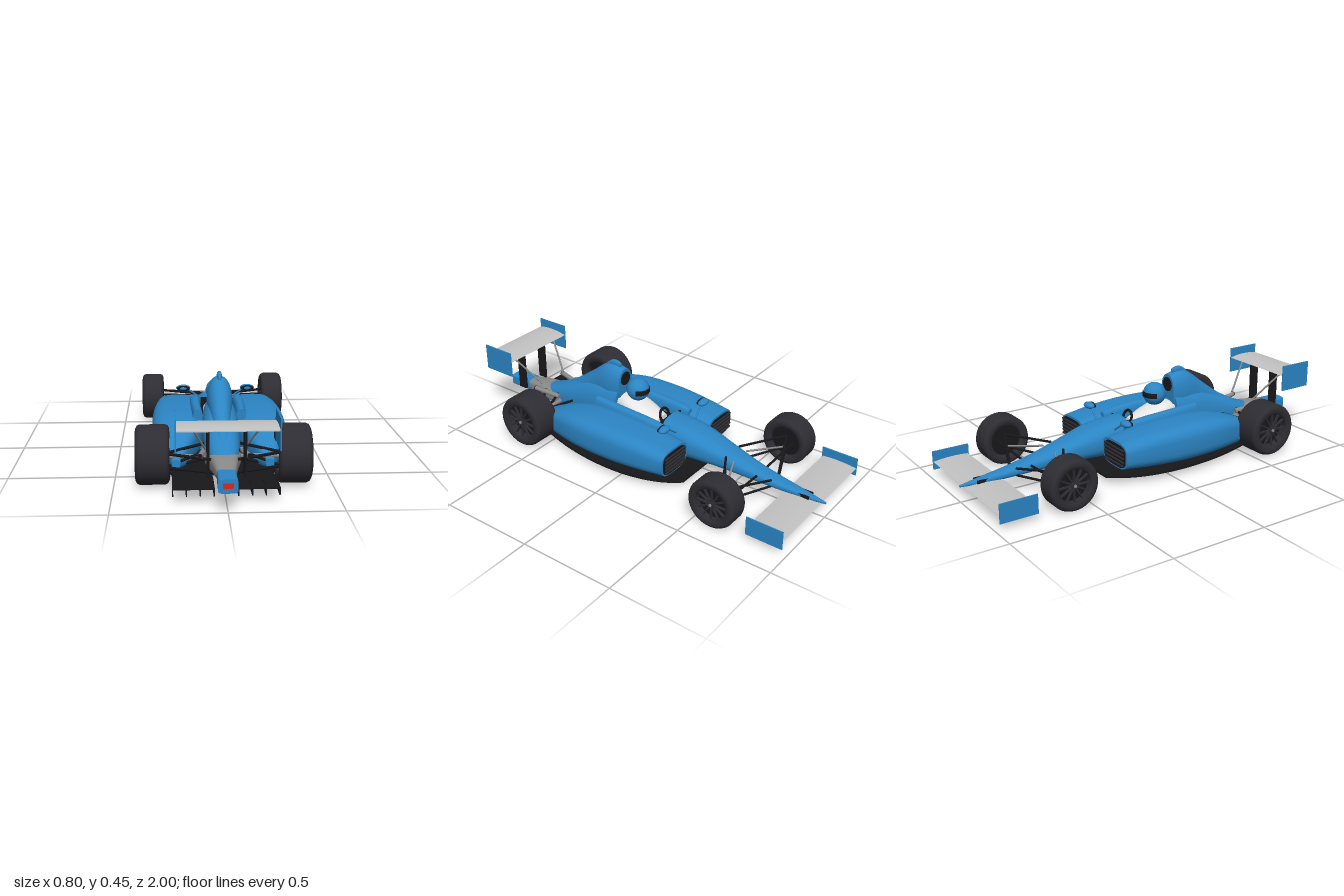
import * as THREE from 'three';

const mat = (name, color, side = THREE.FrontSide) => {
  const m = new THREE.MeshStandardMaterial({ color, side });
  m.name = name;
  return m;
};

export function createModel() {
  const car = new THREE.Group();
  car.name = 'racingCar';
  const blue = mat('bodyBlue', 0x2b85c4), silver = mat('wingSilver', 0xc2c2c2), grey = mat('gearboxGrey', 0x8a8a8a);
  const rubber = mat('tyreCharcoal', 0x2d2d33), black = mat('carbonBlack', 0x18181b);
  const red = mat('lightRed', 0xd22b20), white = mat('overallsWhite', 0xe6e6e6);
  const V = (x, y, z) => new THREE.Vector3(x, y, z);

  const add = (name, geo, m, x = 0, y = 0, z = 0, parent = car) => {
    const mesh = new THREE.Mesh(geo, m);
    mesh.name = name;
    mesh.position.set(x, y, z);
    parent.add(mesh);
    return mesh;
  };
  const box = (name, m, w, h, d, x, y, z, parent) => add(name, new THREE.BoxGeometry(w, h, d), m, x, y, z, parent);
  const rod = (name, a, b, r, m) => {
    const mesh = add(name, new THREE.CylinderGeometry(r, r, a.distanceTo(b), 8), m);
    mesh.position.copy(a).add(b).multiplyScalar(0.5);
    mesh.quaternion.setFromUnitVectors(V(0, 1, 0), b.clone().sub(a).normalize());
    return mesh;
  };

  // Smooth skin through superellipse stations [z, centreX, halfWidth, bottom, top], capped at both ends
  const loft = (name, m, stations, power = 2.6, side = 1) => {
    const N = 36, SUB = 5, pos = [], idx = [];
    const curve = new THREE.CubicInterpolant(stations.map(s => s[0]), stations.flatMap(s => s.slice(1)), 4);
    const zs = [];
    stations.forEach((s, k) => {
      if (!k) return zs.push(s[0]);
      const p = stations[k - 1][0];
      for (let i = 1; i <= SUB; i++) zs.push(p + (s[0] - p) * i / SUB);
    });
    const se = v => Math.sign(v) * Math.pow(Math.abs(v), 2 / power);
    const ring = z => {
      const [cx, hw, y0, y1] = curve.evaluate(z);
      const c = [cx * side, (y0 + y1) / 2, z];
      for (let i = 0; i < N; i++) {
        const t = i / N * Math.PI * 2;
        pos.push(c[0] + hw * se(Math.cos(t)), c[1] + (y1 - y0) / 2 * se(Math.sin(t)), z);
      }
      return c;
    };
    zs.forEach(ring);
    for (let j = 0; j < zs.length - 1; j++) for (let i = 0; i < N; i++) {
      const a = j * N + i, b = j * N + (i + 1) % N;
      idx.push(a, b, a + N, b, b + N, a + N);
    }
    [zs[0], zs[zs.length - 1]].forEach((z, end) => {
      const base = pos.length / 3;
      pos.push(...ring(z));
      for (let i = 0; i < N; i++) {
        const a = base + i, b = base + (i + 1) % N;
        idx.push(base + N, ...(end ? [a, b] : [b, a]));
      }
    });
    const g = new THREE.BufferGeometry();
    g.setAttribute('position', new THREE.Float32BufferAttribute(pos, 3));
    g.setIndex(idx);
    g.computeVertexNormals();
    return add(name, g, m);
  };

  // Nose and scuttle, cockpit tub, engine cover and air box
  loft('nose', blue, [[-1, 0, .004, .08, .09], [-.9, 0, .022, .075, .103], [-.72, 0, .043, .075, .127],
    [-.6, 0, .056, .078, .15], [-.45, 0, .075, .082, .19], [-.26, 0, .1, .075, .24], [-.1, 0, .1, .06, .255]]);
  loft('cockpitTub', blue, [[-.12, 0, .11, .055, .19], [.25, 0, .11, .05, .19]], 5);
  box('cockpitFloor', black, .18, .008, .31, 0, .192, .055);
  box('cockpitCowl', black, .16, .05, .008, 0, .215, -.098);
  loft('engineCover', blue, [[.21, 0, .08, .05, .33], [.35, 0, .088, .05, .325], [.5, 0, .085, .06, .265],
    [.65, 0, .07, .07, .2], [.73, 0, .055, .08, .17]], 2.4);
  loft('airBox', blue, [[.2, 0, .054, .23, .42], [.27, 0, .062, .2, .432], [.32, 0, .06, .2, .42],
    [.4, 0, .052, .18, .36], [.53, 0, .038, .16, .265], [.65, 0, .025, .15, .2]], 2.2);
  const intake = add('airIntake', new THREE.CylinderGeometry(.037, .037, .004, 28), black, 0, .365, .199);
  intake.rotation.x = Math.PI / 2;
  loft('cameraPod', blue, [[.225, 0, .007, .425, .445], [.25, 0, .012, .41, .454], [.28, 0, .012, .41, .452], [.315, 0, .005, .4, .43]], 2.5);

  // Driver and steering wheel
  loft('driverTorso', white, [[-.04, 0, .045, .18, .22], [.06, 0, .07, .18, .26], [.15, 0, .075, .18, .285], [.21, 0, .06, .18, .28]], 2.3);
  add('helmet', new THREE.SphereGeometry(.06, 32, 24), blue, 0, .33, .115);
  add('visor', new THREE.SphereGeometry(.0625, 32, 8, Math.PI * 1.5 - 1.15 + Math.PI * 2 - Math.PI * 2 - Math.PI, 0.001, 1.3, .45), black, 0, .33, .115).visible = true;
  const visor = car.children[car.children.length - 1];
  visor.geometry = new THREE.SphereGeometry(.0625, 32, 8, Math.PI * 1.5 - 1.15, 2.3, 1.3, .45); // faces the nose
  const wheelRim = add('steeringWheel', new THREE.TorusGeometry(.035, .007, 10, 28), black, 0, .235, -.055);
  wheelRim.rotation.x = .3;

  // Gearbox, crash box and rain light
  loft('gearbox', grey, [[.6, 0, .085, .075, .165], [.73, 0, .062, .08, .172], [.87, 0, .042, .098, .152]], 3.2);
  loft('crashBox', blue, [[.87, 0, .042, .09, .152], [1, 0, .043, .088, .15]], 6);
  box('rainLight', red, .045, .024, .004, 0, .122, 1);

  for (const s of [1, -1]) {
    // Side pods with slatted radiator mouths
    loft('sidePod', blue, [[-.265, .2, .107, .08, .217], [-.1, .203, .12, .062, .237], [.1, .205, .127, .05, .246],
      [.3, .203, .12, .05, .238], [.45, .207, .083, .055, .205], [.56, .212, .045, .065, .155], [.62, .215, .018, .08, .12]], 3.2, s);
    loft('radiatorMouth', black, [[-.27, .205, .09, .09, .205], [-.26, .205, .09, .09, .205]], 4, s);
    for (let i = 0; i < 5; i++) box('radiatorSlat', rubber, .165, .007, .012, s * .205, .108 + i * .02, -.272);

    // Cockpit side rail
    loft('cockpitRail', blue, [[-.14, .11, .018, .18, .246], [-.09, .112, .026, .15, .257], [.1, .112, .028, .12, .268], [.3, .105, .026, .12, .274]], 3, s);

    // Mirrors
    const mirror = add('mirror', new THREE.SphereGeometry(1, 24, 16), blue, s * .171, .274, -.18);
    mirror.scale.set(.038, .017, .024);
    const glass = add('mirrorGlass', new THREE.CylinderGeometry(1, 1, 1, 28), black, s * .171, .274, -.163);
    glass.rotation.x = Math.PI / 2;
    glass.scale.set(.034, .008, .014);
    const gem = add('mirrorReflection', new THREE.CircleGeometry(1, 4), blue, s * .171, .274, -.1585);
    gem.scale.set(.018, .007, 1);
    rod('mirrorStalk', V(s * .15, .27, -.18), V(s * .085, .22, -.19), .005, blue);

    // Front suspension
    const fu = V(s * .3, .165, -.61), fl = V(s * .3, .1, -.61);
    [[fu, V(s * .035, .12, -.72)], [fu, V(s * .06, .17, -.475)], [fl, V(s * .035, .085, -.72)], [fl, V(s * .06, .09, -.475)],
      [V(s * .3, .13, -.645), V(s * .04, .12, -.645)]].forEach(([a, b]) => rod('frontWishbone', a, b, .006, black));
    rod('frontPushrod', fl, V(s * .06, .16, -.52), .005, grey);

    // Rear suspension
    const ru = V(s * .27, .145, .6), rl = V(s * .27, .078, .6);
    [[ru, V(s * .06, .15, .72)], [ru, V(s * .07, .165, .5)], [rl, V(s * .05, .09, .72)], [rl, V(s * .07, .09, .5)],
      [rl, V(s * .07, .165, .62)]].forEach(([a, b]) => rod('rearWishbone', a, b, .007, black));
    rod('driveShaft', V(s * .27, .13, .6), V(s * .05, .13, .6), .011, grey);

    // Exhaust pipes
    rod('exhaust', V(s * .085, .16, .6), V(s * .11, .175, .75), .013, grey);
    rod('exhaustTip', V(s * .11, .175, .748), V(s * .111, .1755, .754), .012, black);

    // Rear wing mounts and endplates
    box('rearWingPost', black, .012, .225, .05, s * .08, .24, .875);
    rod('rearWingStrut', V(s * .16, .352, .86), V(s * .085, .2, .72), .005, grey);
    box('rearEndplate', blue, .006, .14, .185, s * .218, .34, .907);

    // Front endplates and nose pylons
    box('frontEndplate', blue, .006, .097, .193, s * .367, .083, -.882);
    box('frontWingPylon', black, .007, .024, .1, s * .0215, .088, -.87);

    // Diffuser ramp and strakes
    const ramp = box('diffuserRamp', black, .185, .006, .33, s * .1425, .054, .715);
    ramp.rotation.x = -.08;
    for (const x of [.053, .113, .173, .232]) box('diffuserStrake', black, .005, .034, .14, s * x, .052, .81);
  }

  // Wings: thin cambered sections extruded across the car
  const wing = (name, span, chord, y, z, camber) => {
    const h = chord / 2, sh = new THREE.Shape();
    sh.moveTo(-h, 0);
    sh.quadraticCurveTo(0, .006 + camber * 2, h, .004);
    sh.lineTo(h, 0);
    sh.quadraticCurveTo(0, -.008 + camber, -h, 0);
    const g = new THREE.ExtrudeGeometry(sh, { depth: span, bevelEnabled: false, curveSegments: 12 });
    g.rotateY(-Math.PI / 2).translate(span / 2, 0, 0);
    return add(name, g, silver, 0, y, z);
  };
  wing('rearWing', .434, .185, .355, .906, .008);
  wing('frontWing', .732, .186, .077, -.885, .004);

  // Flat floor
  const plan = new THREE.Shape();
  plan.moveTo(-.2, -.32);
  plan.lineTo(.2, -.32);
  plan.bezierCurveTo(.3, -.22, .33, -.05, .328, .1);
  plan.bezierCurveTo(.325, .3, .28, .45, .235, .58);
  plan.lineTo(-.235, .58);
  plan.bezierCurveTo(-.28, .45, -.325, .3, -.328, .1);
  plan.bezierCurveTo(-.33, -.05, -.3, -.22, -.2, -.32);
  const floorGeo = new THREE.ExtrudeGeometry(plan, { depth: .012, bevelEnabled: false, curveSegments: 16 });
  add('floor', floorGeo.rotateX(Math.PI / 2), black, 0, .043, 0);

  // Wheels: local +y points outboard
  const makeWheel = (name, r, w, x, z, s) => {
    const g = new THREE.Group();
    g.name = name;
    const h = w / 2, rim = r * .64, c = .02;
    const profile = [[rim, -h + .012], [rim + .006, -h + .004], [r - c, -h], [r - .006, -h + .007], [r, -h + c], [r, h - c],
      [r - .006, h - .007], [r - c, h], [rim + .006, h - .004], [rim, h - .012], [rim, -h + .012]];
    add('tyre', new THREE.LatheGeometry(profile.map(p => new THREE.Vector2(...p)), 48), rubber, 0, 0, 0, g);
    add('rimDish', new THREE.CylinderGeometry(rim, rim, w * .45, 40), black, 0, -.004, 0, g);
    for (let i = 0; i < 12; i++) {
      const a = i / 12 * Math.PI * 2, m = rim * .58;
      const spoke = box('spoke', rubber, rim * .84, .012, .007, Math.cos(a) * m, h - .018, -Math.sin(a) * m, g);
      spoke.rotation.y = a;
    }
    add('hub', new THREE.CylinderGeometry(.016, .02, .02, 20), rubber, 0, h - .018, 0, g);
    add('wheelNut', new THREE.CylinderGeometry(.008, .008, .008, 12), grey, 0, h - .007, 0, g);
    g.position.set(s * x, r + .003, z);
    g.rotation.z = -s * Math.PI / 2;
    car.add(g);
  };
  for (const s of [1, -1]) {
    makeWheel('rearWheel', .138, .155, .3225, .598, s);
    makeWheel('frontWheel', .128, .12, .34, -.606, s);
  }
  return car;
}
